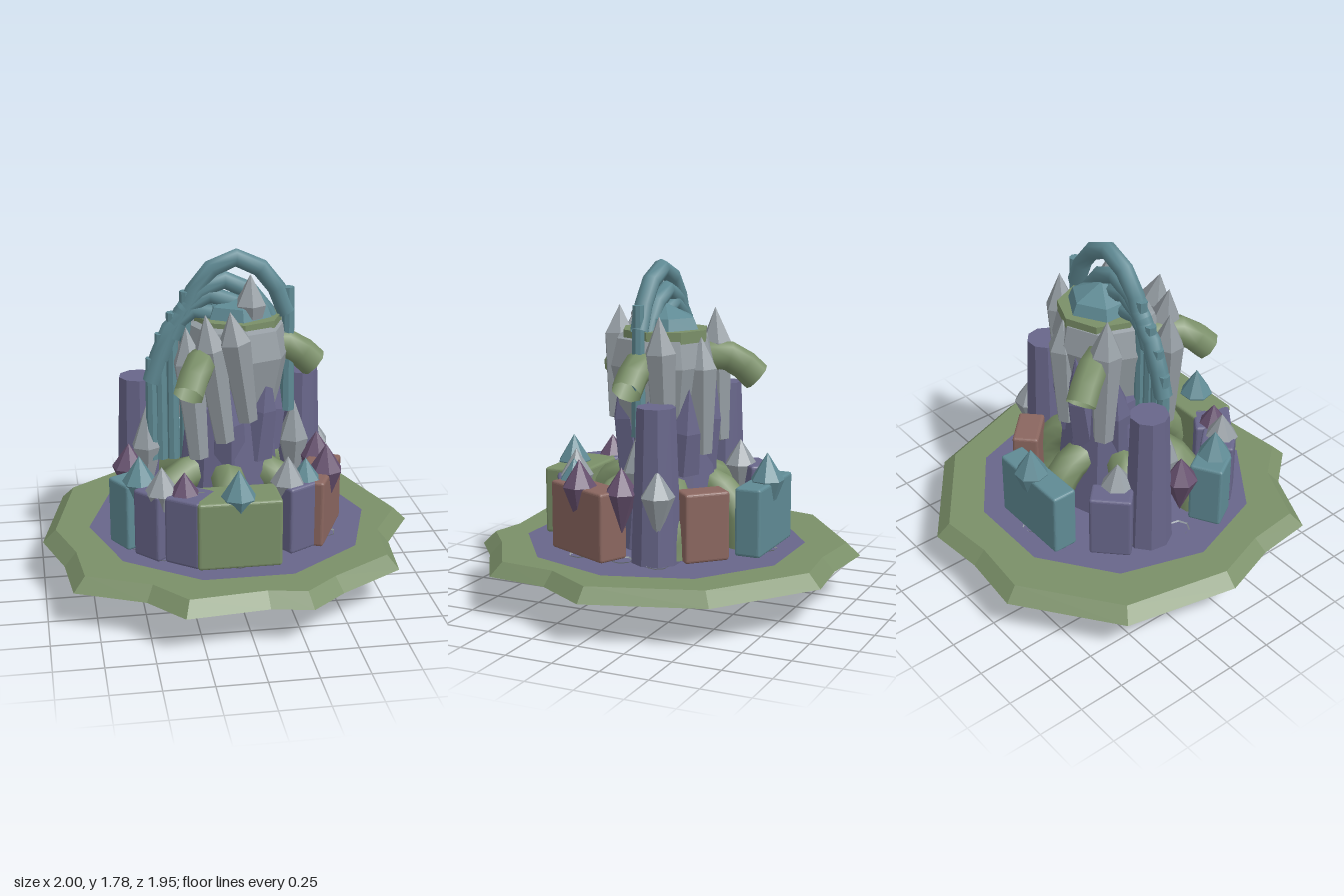
import * as THREE from 'three';
import { RoundedBoxGeometry } from 'three/addons/geometries/RoundedBoxGeometry.js';

const V = (x, y, z) => new THREE.Vector3(x, y, z);
const paint = (color, flatShading = true) =>
  new THREE.MeshStandardMaterial({ color, flatShading, side: THREE.DoubleSide });

export function createModel() {
  const model = new THREE.Group();
  const green = paint(0x7a8f68), purple = paint(0x68668a), blue = paint(0x5f8a94);
  const grey = paint(0x959da3), brown = paint(0x8a665f), plum = paint(0x66506e);
  const smoothGreen = paint(0x7a8f68, false), smoothBlue = paint(0x5f8a94, false);

  const add = (name, geometry, material, x = 0, y = 0, z = 0) => {
    const mesh = new THREE.Mesh(geometry, material);
    mesh.name = name;
    mesh.position.set(x, y, z);
    model.add(mesh);
    return mesh;
  };

  // Lathe between two points; profile is [radius, fraction of the length]
  const spindle = (name, from, to, profile, sides, material) => {
    const dir = to.clone().sub(from), length = dir.length();
    const points = profile.map(([r, t]) => new THREE.Vector2(r, t * length));
    const mesh = add(name, new THREE.LatheGeometry(points, sides), material, from.x, from.y, from.z);
    mesh.quaternion.setFromUnitVectors(V(0, 1, 0), dir.normalize());
  };
  const column = (name, x, z, y0, y1, r0, r1, sides, material) =>
    add(name, new THREE.CylinderGeometry(r1, r0, y1 - y0, sides), material, x, (y0 + y1) / 2, z);
  const tube = (name, points, r, sides, material, segments) =>
    add(name, new THREE.TubeGeometry(new THREE.CatmullRomCurve3(points), segments, r, sides), material);

  // Island rim: jagged outline with a bevelled edge and a hollow underside
  const outline = [[-0.36, -0.98], [-0.02, -0.95], [0.29, -0.98], [0.8, -0.6], [1, 0], [0.83, 0.28],
    [0.8, 0.61], [0.46, 0.82], [0.28, 0.97], [0.07, 0.93], [-0.35, 0.97], [-0.52, 0.77],
    [-0.87, 0.615], [-0.9, 0.31], [-1, 0], [-0.865, -0.6]];
  const scaled = (s, y) => outline.map(([x, z]) => [x * s, y, z * s]);
  const circle = (r, y) => outline.map(([x, z]) => {
    const d = Math.hypot(x, z);
    return [x / d * r, y, z / d * r];
  });
  const rings = [circle(0.66, 0.28), circle(0.75, 0.21), scaled(1, 0.21), scaled(0.93, 0.28), circle(0.66, 0.28)];
  const corners = [];
  for (let k = 0; k < rings.length - 1; k++) {
    for (let i = 0; i < outline.length; i++) {
      const j = (i + 1) % outline.length;
      const a = rings[k][i], b = rings[k][j], c = rings[k + 1][j], d = rings[k + 1][i];
      corners.push(...a, ...d, ...c, ...a, ...c, ...b);
    }
  }
  const rim = new THREE.BufferGeometry();
  rim.setAttribute('position', new THREE.Float32BufferAttribute(corners, 3));
  rim.computeVertexNormals();
  add('islandRim', rim, green);
  add('islandFloor', new THREE.CircleGeometry(0.75, 10).rotateX(-Math.PI / 2), purple, 0, 0.283, 0);

  // Stepped plug and pointed tip under the island
  column('plug', 0.04, 0.015, 0.155, 0.28, 0.3, 0.3, 10, purple);
  column('plugStep', -0.02, 0, 0.205, 0.28, 0.3, 0.3, 10, purple);
  spindle('plugTip', V(-0.035, 0, -0.03), V(-0.035, 0.17, -0.03), [[0, 0], [0.155, 0.88], [0.155, 1]], 8, grey);

  // Ring of rounded blocks: x, z, outward angle in degrees, width, depth
  const blocks = [
    [-0.03, 0.515, 90, 0.43, 0.23, green], [-0.05, -0.545, -90, 0.47, 0.14, blue],
    [0.44, 0.23, 25, 0.42, 0.17, brown], [-0.535, 0.225, 150, 0.17, 0.18, blue],
    [0.3, -0.35, -45, 0.24, 0.14, brown], [-0.42, -0.35, -135, 0.22, 0.14, purple],
    [0.31, 0.4, 60, 0.22, 0.14, purple], [-0.26, 0.48, 127, 0.2, 0.2, purple],
    [-0.42, 0.38, 138, 0.17, 0.18, purple],
  ];
  for (const [x, z, angle, width, depth, material] of blocks) {
    const block = add('block', new RoundedBoxGeometry(width, 0.36, depth, 2, 0.015), material, x, 0.47, z);
    block.rotation.y = THREE.MathUtils.degToRad(90 - angle);
  }

  // Low pipes running from the core down to the floor
  for (let i = 0; i < 6; i++) {
    const a = Math.PI / 6 + i * Math.PI / 3, c = Math.cos(a), s = Math.sin(a);
    const at = (r, y) => V(-0.03 + c * r, y, s * r);
    tube('lowPipe', [at(0.16, 0.62), at(0.3, 0.59), at(0.41, 0.46), at(0.44, 0.285)], 0.09, 8, smoothGreen, 6);
  }

  // Two side towers
  for (const [x, z] of [[-0.46, -0.14], [0.41, -0.14]]) column('tower', x, z, 0.28, 1.08, 0.13, 0.1, 9, purple);

  // Tapering core with spiky upper edge, carrying a wide crystal body
  column('core', 0, -0.02, 0.2, 0.98, 0.31, 0.23, 10, purple);
  for (let i = 0; i < 7; i++) {
    const a = i * Math.PI * 2 / 7, c = Math.cos(a) * 0.17, s = Math.sin(a) * 0.17 - 0.02;
    spindle('coreSpike', V(c + 0.02, 0.7, s), V(c * 1.45 + 0.03, 1.14 + 0.1 * (i % 2), s * 1.45),
      [[0.1, 0], [0.085, 0.5], [0, 1]], 6, purple);
  }
  spindle('crystalBody', V(0.04, 0.7, -0.01), V(0.05, 1.48, -0.01),
    [[0.14, 0], [0.22, 0.3], [0.285, 0.7], [0.25, 0.88], [0, 1]], 8, grey);
  column('crownRing', 0.06, -0.03, 1.37, 1.43, 0.23, 0.23, 8, green);
  spindle('crownDome', V(0.06, 1.42, -0.03), V(0.06, 1.56, -0.03), [[0.19, 0], [0.16, 0.5], [0, 1]], 6, blue);
  spindle('crownCrystal', V(0.11, 1.2, 0.06), V(0.11, 1.66, 0.06), [[0, 0], [0.085, 0.66], [0, 1]], 6, grey);

  // Long leaning shards around the core: bottom, top
  const shards = [
    [-0.18, 0.72, 0.2, -0.24, 1.43, 0.17], [-0.05, 0.82, 0.24, -0.15, 1.51, 0.24],
    [0.07, 0.93, 0.24, -0.03, 1.53, 0.28], [0.26, 0.8, -0.12, 0.31, 1.52, -0.11],
    [-0.2, 0.8, -0.23, -0.2, 1.52, -0.2], [0.08, 0.78, -0.25, 0.1, 1.4, -0.25],
  ];
  for (const [x0, y0, z0, x1, y1, z1] of shards) {
    spindle('shard', V(x0, y0, z0), V(x1, y1, z1), [[0, 0], [0.055, 0.02], [0.085, 0.74], [0, 1]], 6, grey);
  }

  // Three drooping horns
  for (const degrees of [0, 120, 240]) {
    const a = THREE.MathUtils.degToRad(degrees), c = Math.cos(a), s = Math.sin(a);
    const at = (r, y) => V(c * r - 0.02, y, s * r);
    tube('horn', [at(0.14, 1.25), at(0.3, 1.27), at(0.38, 1.24), at(0.48, 1.15)], 0.08, 8, smoothGreen, 4);
  }

  // Nested arches, each rising from its own left post: x, post top, peak x, peak y, right end x
  const arches = [[-0.22, 1.57, 0.04, 1.735, 0.31], [-0.29, 1.46, -0.02, 1.62, 0.25],
    [-0.35, 1.35, -0.08, 1.55, 0.18], [-0.4, 1.22, -0.14, 1.48, 0.1]];
  for (const [x, top, peakX, peak, endX] of arches) {
    column('archPost', x, 0, 0.66, top, 0.035, 0.03, 8, blue);
    const side = (endX - peakX) * 0.65;
    tube('arch', [V(x, top - 0.13, 0), V(peakX - side, peak - 0.1, 0), V(peakX, peak, 0),
      V(peakX + side, peak - 0.1, 0), V(endX, peak - 0.3, 0)], 0.048, 8, smoothBlue, 6);
  }
  column('archPost', 0.32, 0, 0.9, 1.57, 0.04, 0.03, 8, blue);

  // Small double-pointed crystals on the blocks, with short roots under the floor: x, z, top
  const gems = [[-0.03, -0.57, 0.8], [-0.38, -0.28, 0.78], [-0.53, 0.02, 0.76], [-0.5, 0.28, 0.79],
    [-0.4, 0.42, 0.78], [-0.29, 0.46, 0.76], [-0.03, 0.565, 0.8], [0.25, 0.4, 0.79],
    [0.48, 0.26, 0.79], [0.35, 0.36, 0.76], [0.5, -0.19, 0.78], [0.48, 0.02, 0.77]];
  gems.forEach(([x, z, top], i) => {
    spindle('gem', V(x, 0.42, z), V(x, top, z), [[0, 0], [0.09, 0.62], [0, 1]], 7, [blue, grey, plum][i % 3]);
    spindle('gemRoot', V(x, 0.22, z), V(x, 0.29, z), [[0, 0], [0.06, 1]], 7, grey);
  });
  for (const x of [0.36, -0.43]) {
    spindle('tallGem', V(x, 0.4, -0.02), V(x, 0.95, -0.02), [[0, 0], [0.085, 0.6], [0, 1]], 6, grey);
  }

  return model;
}
